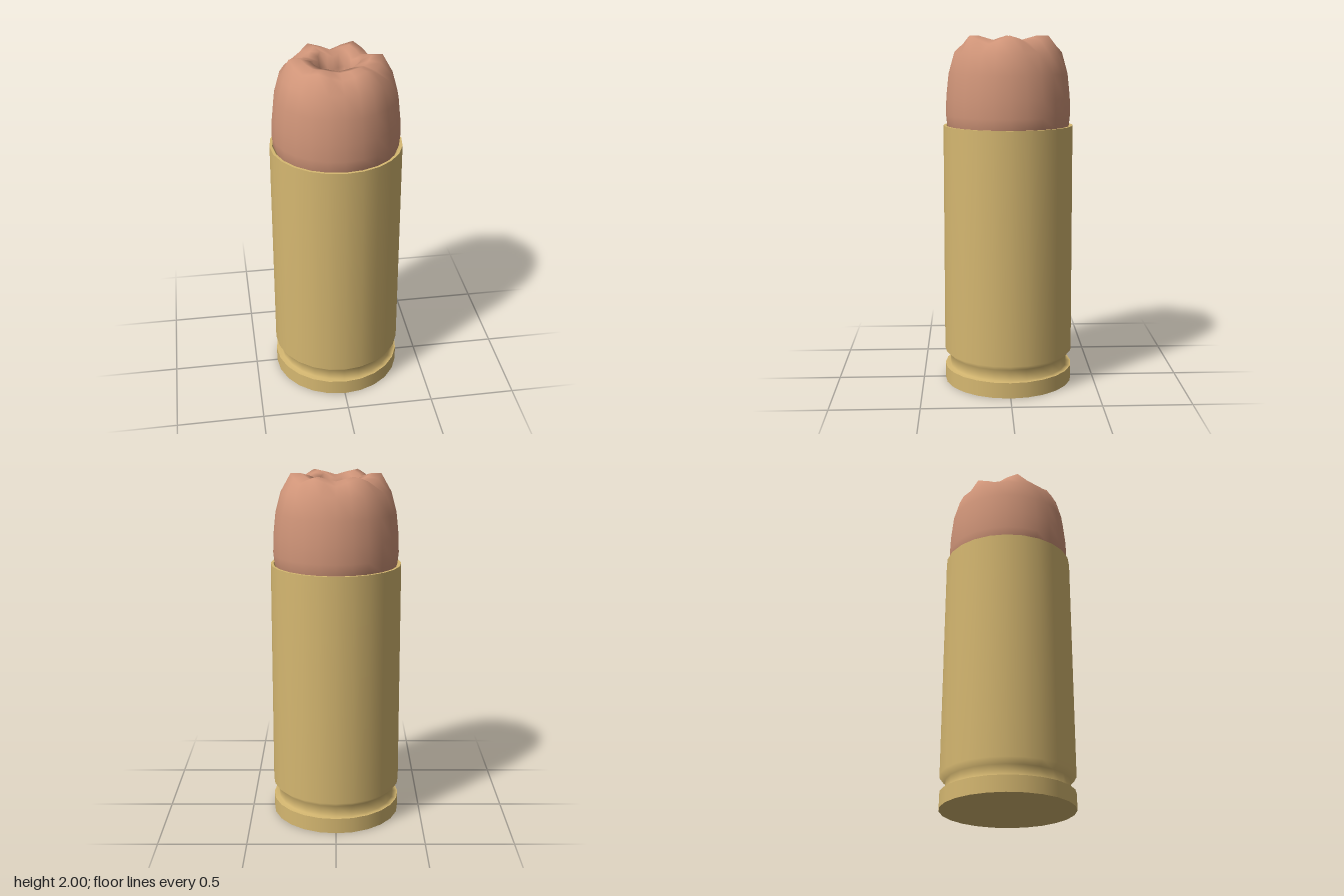
import * as THREE from 'three';
import { mergeVertices } from 'three/addons/utils/BufferGeometryUtils.js';

const SIDES = 24;

function lathe(profile) {
  return new THREE.LatheGeometry(profile.map(([r, y]) => new THREE.Vector2(r, y)), SIDES);
}

// Hollow tip: each ring blends between a ridge (r, y) and a notch (r, y), six times around
function hollowTip() {
  const rings = [
    [0.33, 1.46, 0.33, 1.46],
    [0.347, 1.5, 0.347, 1.5],
    [0.353, 1.56, 0.353, 1.56],
    [0.35, 1.66, 0.35, 1.66],
    [0.336, 1.79, 0.336, 1.79],
    [0.306, 1.9, 0.302, 1.91],
    [0.25, 2.0, 0.225, 1.955], // crown
    [0.19, 2.0, 0.16, 1.975],
    [0.14, 1.985, 0.1, 1.96], // mouth of the cavity
    [0.125, 1.9, 0.095, 1.89],
    [0.09, 1.78, 0.085, 1.78],
    [0, 1.74, 0, 1.74],
  ];
  const geo = lathe(rings.map(([r, y]) => [r, y]));
  const pos = geo.attributes.position;
  for (let i = 0; i < pos.count; i++) {
    const [r1, y1, r2, y2] = rings[i % rings.length];
    const angle = (Math.floor(i / rings.length) / SIDES) * Math.PI * 2;
    // ridges lie on the x axis and every 60 degrees from it
    const t = 0.5 + 0.5 * Math.cos(6 * (angle - Math.PI / 2));
    const r = THREE.MathUtils.lerp(r2, r1, t);
    pos.setXYZ(i, r * Math.sin(angle), THREE.MathUtils.lerp(y2, y1, t), r * Math.cos(angle));
  }
  // weld the seam so the shading is continuous
  geo.deleteAttribute('uv');
  geo.deleteAttribute('normal');
  const welded = mergeVertices(geo, 1e-4);
  welded.computeVertexNormals();
  return welded;
}

export function createModel() {
  const brass = new THREE.MeshStandardMaterial({ color: 0xd6b871 });
  brass.name = 'brass';
  const copper = new THREE.MeshStandardMaterial({ color: 0xcf9478 });
  copper.name = 'copper';

  const model = new THREE.Group();
  model.name = 'cartridge';
  const add = (name, geometry, material) => {
    const mesh = new THREE.Mesh(geometry, material);
    mesh.name = name;
    model.add(mesh);
  };

  // Base disc and rim band
  add('baseFace', lathe([[0, 0], [0.372, 0]]), brass);
  add('rimBand', lathe([[0.372, 0], [0.372, 0.09]]), brass);

  // Extractor groove, chamfer and slightly tapered wall in one smooth sweep
  add('caseWall', lathe([[0.372, 0.09], [0.342, 0.092], [0.342, 0.155], [0.373, 0.185], [0.368, 1.5]]), brass);

  // Mouth lip and the inside edge that grips the tip
  add('caseLip', lathe([[0.368, 1.5], [0.353, 1.5]]), brass);
  add('caseInside', lathe([[0.353, 1.5], [0.33, 1.46]]), brass);

  add('hollowTip', hollowTip(), copper);
  return model;
}
